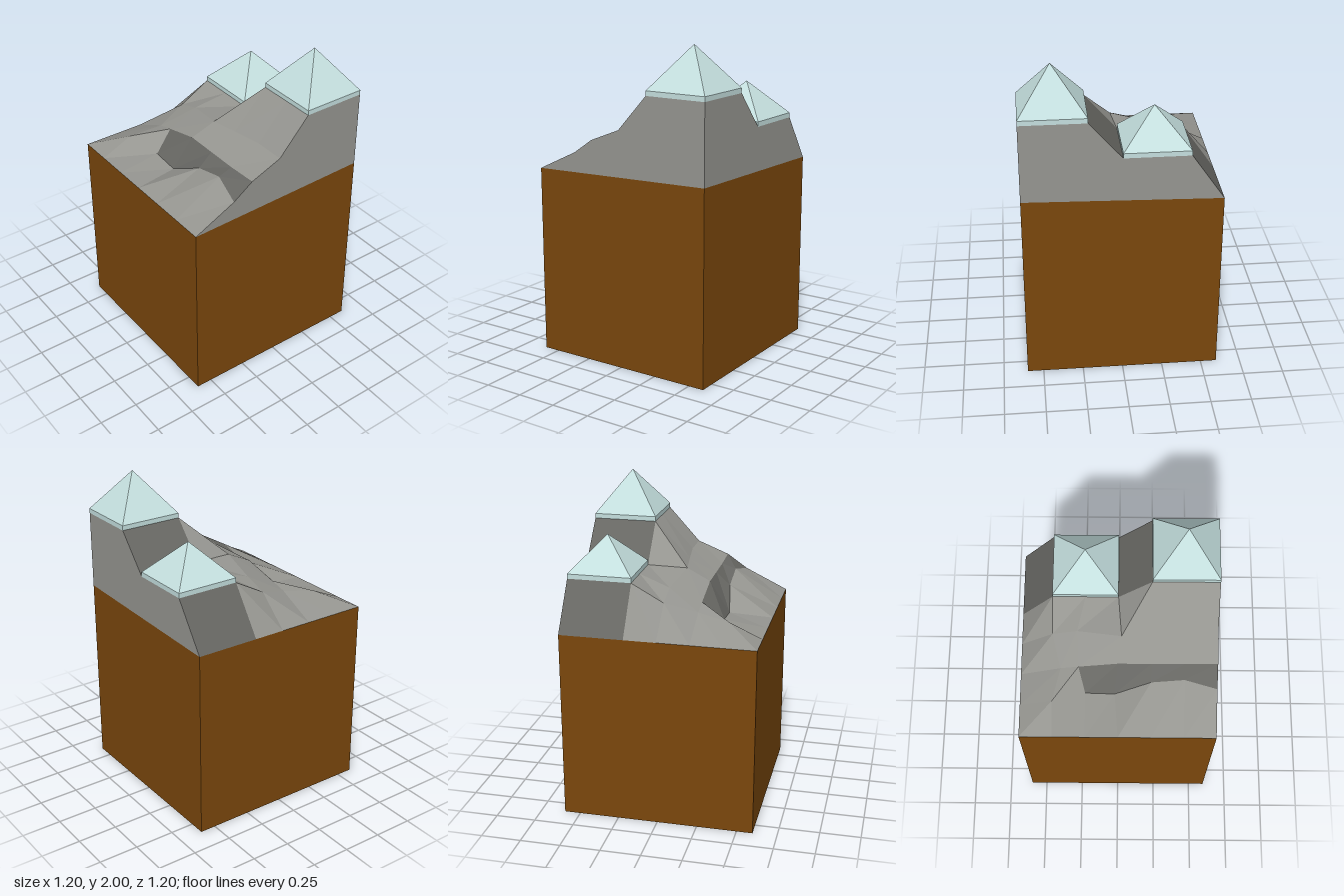
import * as THREE from 'three';

const mat = (name, color) => {
  const m = new THREE.MeshStandardMaterial({ color });
  m.name = name;
  return m;
};

// Flat-shaded mesh from a list of triangles (each three [x, y, z] corners)
function facets(name, triangles, material) {
  const geo = new THREE.BufferGeometry();
  geo.setAttribute('position', new THREE.Float32BufferAttribute(triangles.flat(2), 3));
  geo.computeVertexNormals();
  const mesh = new THREE.Mesh(geo, material);
  mesh.name = name;
  return mesh;
}

export function createModel() {
  const soil = mat('soil brown', 0x7a470c);
  const rock = mat('rock grey', 0x959590);
  const cliff = mat('cliff dark grey', 0x676763);
  const ice = mat('ice blue', 0xc4dfde);

  const model = new THREE.Group();
  model.name = 'mountainTile';
  const H = 0.6, EDGE = 1.19;

  // Soil block: one top corner slightly raised, pale underside
  const block = new THREE.BoxGeometry(1.2, EDGE, 1.2).translate(0, EDGE / 2, 0);
  const p = block.attributes.position;
  for (let i = 0; i < p.count; i++) {
    if (p.getY(i) > 1 && p.getX(i) > 0 && p.getZ(i) > 0) p.setY(i, 1.22);
  }
  const base = new THREE.Mesh(block, [soil, soil, soil, ice, soil, soil]);
  base.name = 'soilBlock';
  model.add(base);

  // Mountain surface: columns across x, seven points each from back to front
  const zs = [-0.6, -0.4, -0.2, 0, 0.2, 0.4, 0.6];
  const straight = (x, heights) => heights.map((y, i) => [x, y, zs[i]]);
  const ridge = [EDGE, 1.48, 1.48, 1.48, 1.71, 1.71, 1.71];
  const columns = [
    straight(-0.6, Array(7).fill(EDGE)),
    [[-0.4, EDGE, -0.6], [-0.4, 1.28, -0.4], [-0.33, 1.225, -0.2], [-0.33, 1.21, -0.02],
      [-0.29, 1.32, 0.2], [-0.29, 1.37, 0.4], [-0.33, 1.32, 0.6]],
    [[-0.2, EDGE, -0.6], [-0.2, 1.31, -0.35], [-0.2, 1.34, -0.24], [-0.2, 1.4, 0],
      [-0.2, 1.4, 0.2], [-0.2, 1.4, 0.4], [-0.2, 1.41, 0.6]],
    [[0, EDGE, -0.6], [0, 1.37, -0.4], [0, 1.42, -0.25], [-0.05, 1.47, 0.02],
      [-0.025, 1.48, 0.2], [0, 1.49, 0.4], [0, 1.49, 0.6]],
    straight(0.2, ridge),
    straight(0.6, ridge),
  ];
  const slopes = [], steep = [];
  for (let c = 0; c < 5; c++) {
    for (let r = 0; r < 6; r++) {
      const a = columns[c][r], b = columns[c][r + 1];
      const d = columns[c + 1][r + 1], e = columns[c + 1][r];
      const isSteep = (c === 1 && r >= 2) || (c === 4 && (r === 0 || r === 3));
      (isSteep ? steep : slopes).push([a, b, d], [a, d, e]);
    }
  }
  model.add(facets('mountainSlopes', slopes, rock), facets('steepCliffs', steep, cliff));

  // Upright cut faces on the front and right sides, from soil up to the surface
  const walls = [];
  const floor = (q, t) => [q[0], 1.205 + 0.025 * t, q[2]];
  const wall = (a, b, ta, tb) => {
    const fa = floor(a, ta), fb = floor(b, tb);
    walls.push([fa, fb, b], [fa, b, a]);
  };
  for (let c = 0; c < 5; c++) {
    const a = columns[c][6], b = columns[c + 1][6];
    wall(a, b, a[0], b[0]);
  }
  for (let r = 6; r > 0; r--) {
    const a = columns[5][r], b = columns[5][r - 1];
    wall(a, b, a[2], b[2]);
  }
  model.add(facets('cutRockFaces', walls, rock));

  // Ice caps: thin square slab with a pyramid on top
  const addCap = (name, z, y, height) => {
    const cap = new THREE.Group();
    cap.name = name;
    const slab = new THREE.Mesh(new THREE.BoxGeometry(0.4, 0.03, 0.4), ice);
    slab.name = 'capSlab';
    slab.position.y = 0.015;
    const cone = new THREE.ConeGeometry(0.2 * Math.SQRT2, height, 4, 1, true)
      .rotateY(Math.PI / 4).toNonIndexed();
    cone.computeVertexNormals();
    const peak = new THREE.Mesh(cone, ice);
    peak.name = 'capPeak';
    peak.position.y = 0.03 + height / 2;
    cap.add(slab, peak);
    cap.position.set(H - 0.2, y, z);
    model.add(cap);
  };
  addCap('tallIceCap', 0.4, 1.71, 0.26);
  addCap('smallIceCap', -0.2, 1.48, 0.21);

  return model;
}
